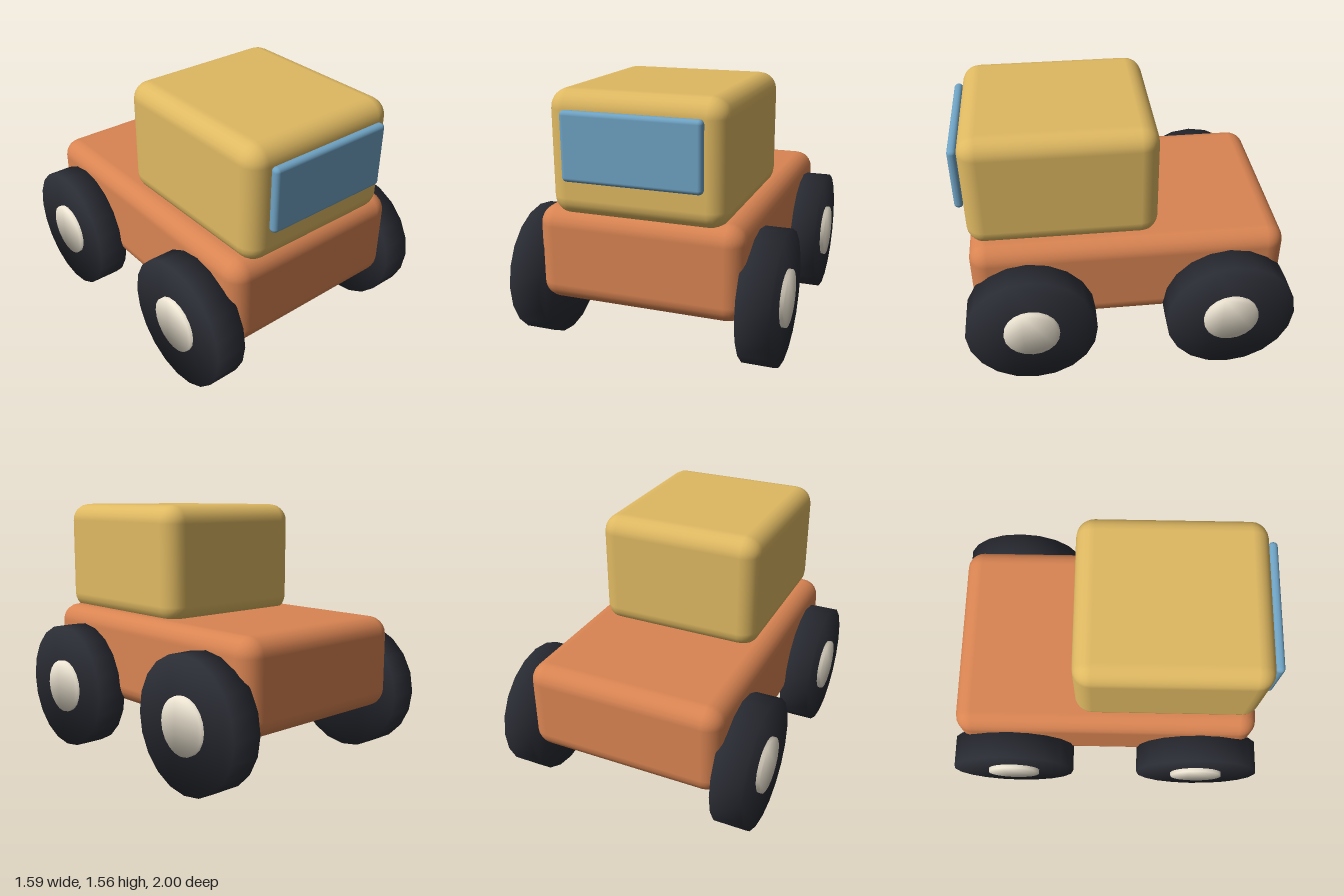
import * as THREE from 'three';
import { RoundedBoxGeometry } from 'three/addons/geometries/RoundedBoxGeometry.js';

const paint = (color) => new THREE.MeshStandardMaterial({ color });

// Rounded block given by its min/max extents
function block(name, [x0, x1], [y0, y1], [z0, z1], radius, material) {
  const geo = new RoundedBoxGeometry(x1 - x0, y1 - y0, z1 - z0, 3, radius);
  const mesh = new THREE.Mesh(geo, material);
  mesh.name = name;
  mesh.position.set((x0 + x1) / 2, (y0 + y1) / 2, (z0 + z1) / 2);
  return mesh;
}

// Disc along x whose shading is smoothed over the rim
function disc(name, radius, x0, x1, material) {
  const outline = [];
  for (let i = 0; i < 20; i++) {
    const a = (i / 20) * Math.PI * 2;
    outline.push(new THREE.Vector2(Math.cos(a) * radius, Math.sin(a) * radius));
  }
  const depth = x1 - x0;
  const geo = new THREE.ExtrudeGeometry(new THREE.Shape(outline), { depth, bevelEnabled: false });
  geo.translate(0, 0, -depth / 2);
  const p = geo.attributes.position, n = geo.attributes.normal;
  const v = new THREE.Vector3();
  for (let i = 0; i < p.count; i++) {
    v.set(p.getX(i) / radius, p.getY(i) / radius, Math.sign(p.getZ(i))).normalize();
    n.setXYZ(i, v.x, v.y, v.z);
  }
  geo.rotateY(Math.PI / 2);
  const mesh = new THREE.Mesh(geo, material);
  mesh.name = name;
  mesh.position.x = (x0 + x1) / 2;
  return mesh;
}

export function createModel() {
  const model = new THREE.Group();
  model.name = 'toyTruck';
  const orange = paint(0xd98452), yellow = paint(0xdfb962), blue = paint(0x6fa3c4);
  const rubber = paint(0x2b2d35), cream = paint(0xeee5d3);

  // Chassis, cab and windscreen
  model.add(
    block('body', [-0.615, 0.615], [0.325, 0.89], [-0.945, 0.945], 0.11, orange),
    block('cab', [-0.517, 0.517], [0.85, 1.565], [-0.19, 0.945], 0.11, yellow),
    block('windscreen', [-0.405, 0.405], [1.07, 1.465], [0.945, 1.0], 0.026, blue),
  );

  // Four wheels with hubs
  for (const side of [-1, 1]) {
    for (const end of [-1, 1]) {
      const wheel = new THREE.Group();
      wheel.name = (end > 0 ? 'front' : 'rear') + (side > 0 ? 'Left' : 'Right') + 'Wheel';
      wheel.add(disc('tire', 0.395, 0.585, 0.775, rubber), disc('hub', 0.168, 0.6, 0.797, cream));
      wheel.position.set(0, 0.395, end * 0.605);
      if (side < 0) wheel.rotation.y = Math.PI;
      model.add(wheel);
    }
  }
  return model;
}
